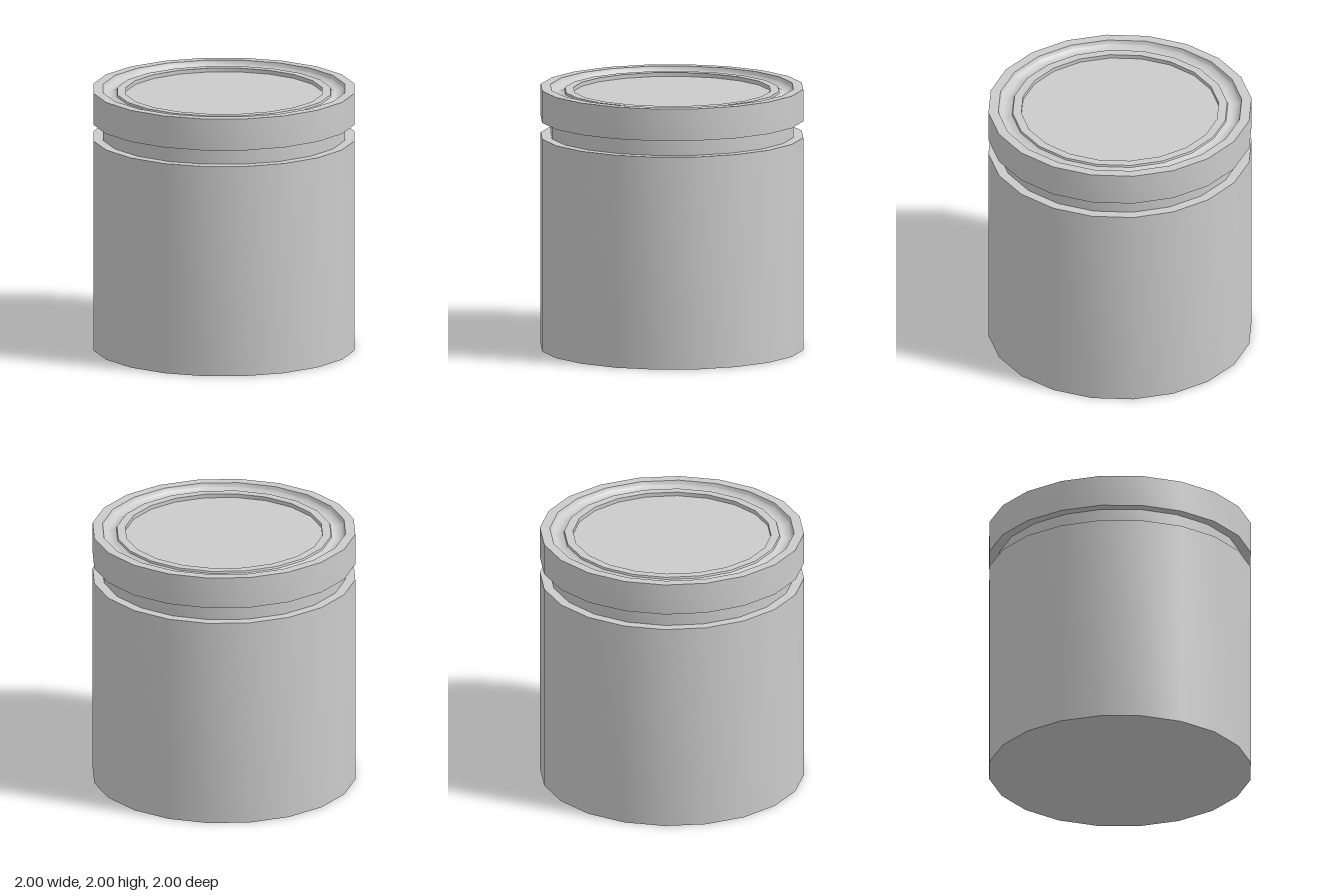
import * as THREE from 'three';
import { toCreasedNormals } from 'three/addons/utils/BufferGeometryUtils.js';

const SIDES = 20;

// Turned part from [radius, height] pairs, listed from the underside outward and up
function turned(name, profile) {
  const points = profile.map(([r, y]) => new THREE.Vector2(r, y));
  const geometry = toCreasedNormals(new THREE.LatheGeometry(points, SIDES), 0.75);
  const mesh = new THREE.Mesh(geometry, new THREE.MeshStandardMaterial({ color: 0xcccccc }));
  mesh.name = name;
  return mesh;
}

export function createModel() {
  const model = new THREE.Group();
  model.name = 'canister';

  // Straight body with a flat base and a narrow shoulder
  model.add(turned('body', [[0, 0], [1, 0], [1, 1.63], [0.925, 1.63]]));

  // Recessed neck between body and lid
  model.add(turned('neck', [[0.925, 1.63], [0.925, 1.755]]));

  // Lid band with a flat rim
  model.add(turned('lidBand', [[0.925, 1.755], [1, 1.755], [1, 2], [0.925, 2]]));

  // Rounded groove, raised ring and sunken centre disc
  model.add(turned('lidTop', [
    [0.925, 2], [0.915, 1.97], [0.88, 1.95], [0.85, 1.95], [0.82, 1.965], [0.815, 1.98],
    [0.75, 1.98], [0.75, 1.95], [0, 1.95],
  ]));

  return model;
}
